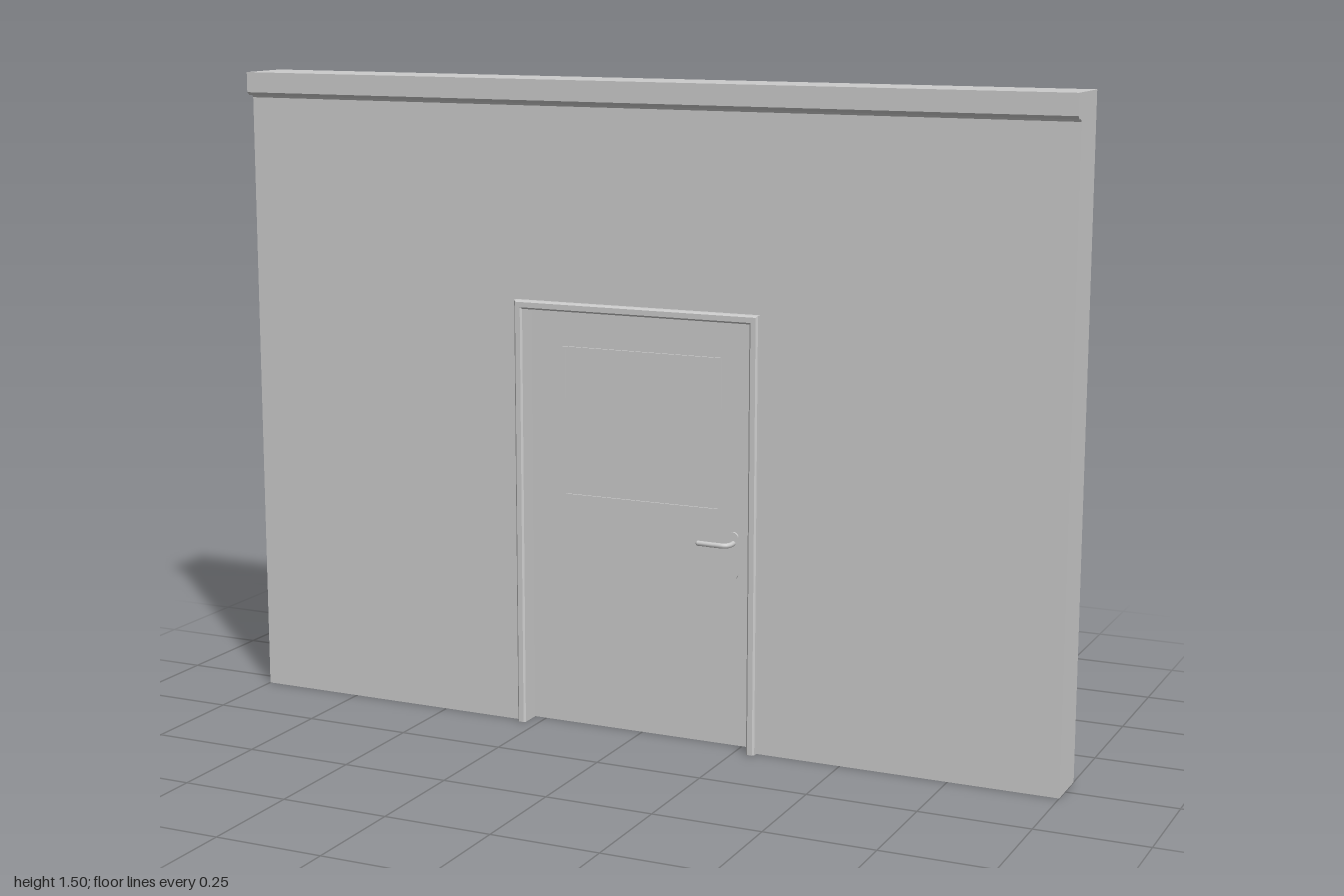
import * as THREE from 'three';

const mat = new THREE.MeshStandardMaterial({ color: 0xcccccc, side: THREE.DoubleSide });

const W = 1, H = 1.5, BACK = -0.07, FRONT = 0.046; // wall half width, height, depth limits
const DOOR_Z = 0.01;

function add(parent, name, geometry, x = 0, y = 0, z = 0) {
  const mesh = new THREE.Mesh(geometry, mat);
  mesh.name = name;
  mesh.position.set(x, y, z);
  parent.add(mesh);
  return mesh;
}

const polygon = (points) => new THREE.Shape(points.map(([x, y]) => new THREE.Vector2(x, y)));

// Upside-down U standing on the floor
const archShape = (outer, outerTop, inner, innerTop) => polygon([
  [-outer, 0], [-outer, outerTop], [outer, outerTop], [outer, 0],
  [inner, 0], [inner, innerTop], [-inner, innerTop], [-inner, 0],
]);

// Rectangular ring centred on the origin
function ring(w, h, t, depth) {
  const rect = (a, b) => [[-a, -b], [a, -b], [a, b], [-a, b]];
  const shape = polygon(rect(w / 2, h / 2));
  shape.holes.push(polygon(rect(w / 2 - t, h / 2 - t)));
  return new THREE.ExtrudeGeometry(shape, { depth, bevelEnabled: false });
}

// Open strip swept along x from a (z, y) profile
function strip(profile) {
  const pos = [], push = (x, [z, y]) => pos.push(x, y, z);
  for (let i = 0; i < profile.length - 1; i++) {
    const a = profile[i], b = profile[i + 1];
    push(-W, a); push(W, a); push(W, b);
    push(-W, a); push(W, b); push(-W, b);
  }
  const g = new THREE.BufferGeometry();
  g.setAttribute('position', new THREE.Float32BufferAttribute(pos, 3));
  g.computeVertexNormals();
  return g;
}

function buildWall() {
  const wall = new THREE.Group();
  wall.name = 'wall';
  const cornice = [[FRONT, 1.44], [0.05, 1.446], [0.062, 1.446], [0.07, 1.453], [0.07, H]];

  // Front skin with the doorway left out; the wall is hollow and open below
  add(wall, 'wallFront', new THREE.ShapeGeometry(archShape(W, 1.44, 0.298, 0.998)), 0, 0, FRONT);
  add(wall, 'cornice', strip([...cornice, [BACK, H]]));
  add(wall, 'wallBack', strip([[BACK, H], [BACK, 0]]));

  // End caps follow the wall and cornice outline
  const outline = polygon([[BACK, 0], [FRONT, 0], ...cornice, [BACK, H]]);
  for (const side of [-1, 1]) {
    const g = new THREE.ShapeGeometry(outline).rotateY(-Math.PI / 2);
    if (side > 0) g.scale(-1, 1, 1).index.array.reverse();
    add(wall, side > 0 ? 'leftEnd' : 'rightEnd', g, side * W);
  }
  return wall;
}

function buildHandle() {
  const handle = new THREE.Group();
  handle.name = 'handle';
  // Rounded backplate
  const r = 0.011, half = 0.043;
  const plate = new THREE.Shape();
  plate.absarc(0, half, r, 0, Math.PI);
  plate.absarc(0, -half, r, Math.PI, Math.PI * 2);
  add(handle, 'handlePlate', new THREE.ExtrudeGeometry(plate, {
    depth: 0.006, bevelEnabled: false, curveSegments: 8,
  }), 0, 0.445, 0);
  // Bent lever: out of the door, then towards the door centre
  const path = new THREE.CatmullRomCurve3([
    [0, 0, 0], [0, 0, 0.025], [-0.008, 0, 0.036], [-0.035, 0, 0.038], [-0.072, 0, 0.036],
  ].map((p) => new THREE.Vector3(...p)));
  add(handle, 'lever', new THREE.TubeGeometry(path, 20, 0.006, 10), 0, 0.474, 0);
  add(handle, 'leverTip', new THREE.SphereGeometry(0.006, 10, 8), -0.072, 0.474, 0.036);
  handle.position.set(0.227, 0, DOOR_Z);
  return handle;
}

function buildDoor() {
  const door = new THREE.Group();
  door.name = 'door';
  // Frame lining runs through the wall, with a slightly eased front edge
  const bevel = 0.004;
  const frame = new THREE.ExtrudeGeometry(archShape(0.296, 0.996, 0.284, 0.984), {
    depth: 0.058 - BACK - 0.005, bevelThickness: bevel, bevelSize: bevel, bevelSegments: 1,
  });
  // Keep the feet of the bevelled jambs on the floor
  const p = frame.attributes.position;
  for (let i = 0; i < p.count; i++) if (p.getY(i) < 0) p.setY(i, 0);
  add(door, 'doorFrame', frame, 0, 0, BACK + 0.005);

  add(door, 'doorLeaf', new THREE.BoxGeometry(0.562, 0.982, 0.02), 0, 0.491, DOOR_Z - 0.01);
  // Window bead and pane
  add(door, 'windowFrame', ring(0.394, 0.35, 0.006, 0.005), -0.002, 0.718, DOOR_Z);
  add(door, 'windowPane', new THREE.PlaneGeometry(0.384, 0.34), -0.002, 0.718, DOOR_Z + 0.001);
  door.add(buildHandle());
  return door;
}

export function createModel() {
  const model = new THREE.Group();
  model.name = 'wallWithDoor';
  model.add(buildWall(), buildDoor());
  return model;
}
